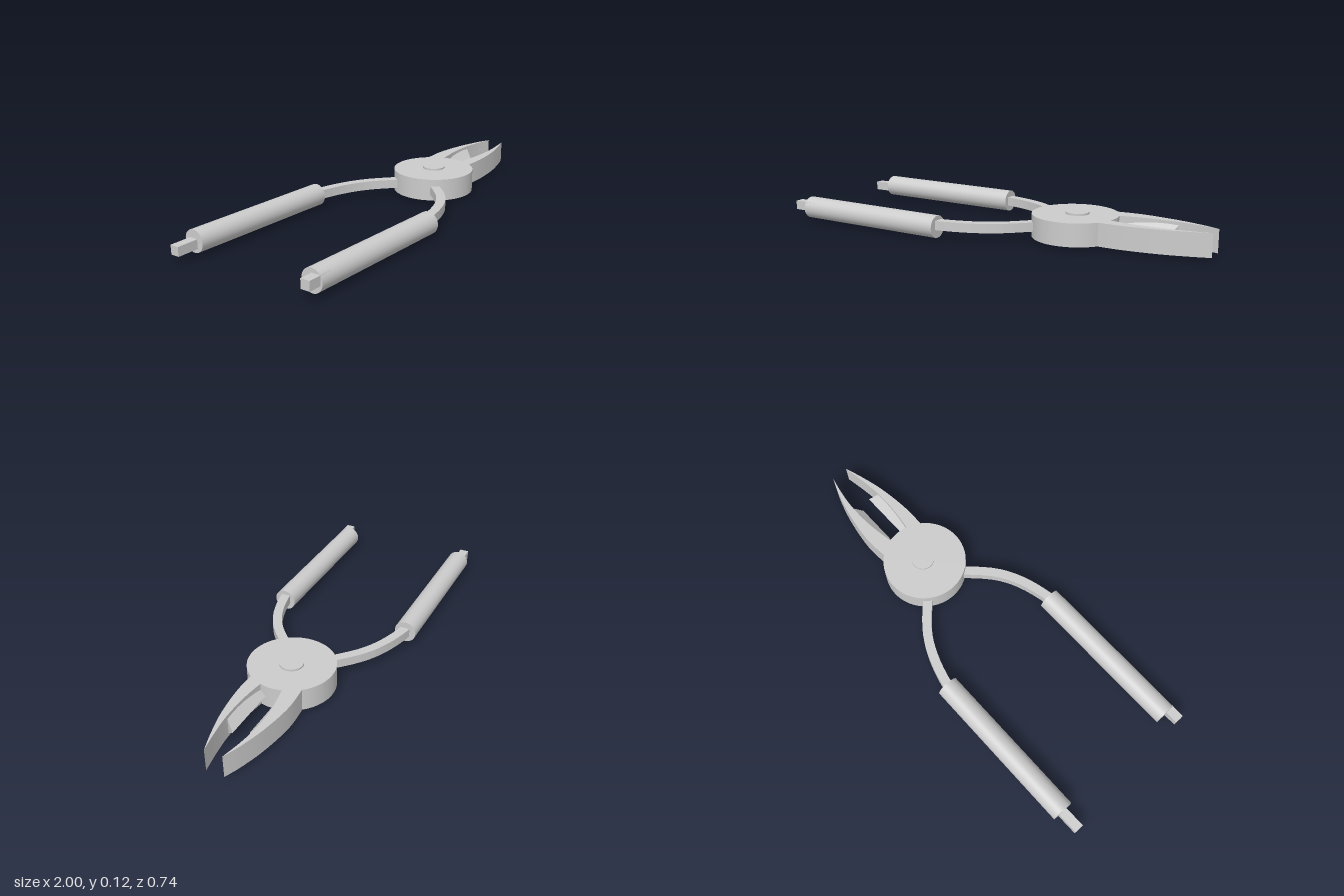
import * as THREE from 'three';

const material = new THREE.MeshStandardMaterial({ color: 0xcccccc });

function add(parent, name, geometry) {
  const mesh = new THREE.Mesh(geometry, material);
  mesh.name = name;
  parent.add(mesh);
  return mesh;
}

// Vertical slab from an outline in (x, z)
function slab(shape, bottom, top) {
  return new THREE.ExtrudeGeometry(shape, { depth: top - bottom, bevelEnabled: false, curveSegments: 12 })
    .rotateX(Math.PI / 2).translate(0, top, 0);
}

const vectors = (list) => list.map(([x, z]) => new THREE.Vector2(x, z));

// Outline of a strip of even width along a centre line
function strip(points, width) {
  const curve = new THREE.SplineCurve(vectors(points));
  const a = [], b = [];
  for (let i = 0; i <= 24; i++) {
    const p = curve.getPoint(i / 24), t = curve.getTangent(i / 24);
    const n = new THREE.Vector2(-t.y, t.x).multiplyScalar(width / 2);
    a.push(p.clone().add(n));
    b.unshift(p.clone().sub(n));
  }
  return new THREE.Shape([...a, ...b]);
}

// Jaw outline: bulging outer edge, hollow inner edge, sharp tip
function jaw(outer, inner) {
  const shape = new THREE.Shape();
  shape.moveTo(...outer[0]);
  shape.splineThru(vectors(outer.slice(1)));
  shape.splineThru(vectors(inner));
  shape.closePath();
  return slab(shape, 0.012, 0.116);
}

// Cutting wedge whose edge lies at mid height, with a slanted far end
function cutter(baseZ, edgeZ) {
  const h = Math.abs(edgeZ - baseZ) * 0.95, mid = 0.063;
  const shape = new THREE.Shape(vectors([[-baseZ, mid - h], [-edgeZ, mid], [-baseZ, mid + h]]));
  const g = new THREE.ExtrudeGeometry(shape, { depth: 0.265, bevelEnabled: false }).rotateY(Math.PI / 2);
  const p = g.attributes.position;
  for (let i = 0; i < p.count; i++) {
    if (p.getX(i) > 0.1) p.setX(i, p.getX(i) - 0.7 * (p.getZ(i) - (baseZ + edgeZ) / 2));
  }
  g.translate(0.54, 0, 0);
  g.computeVertexNormals();
  return g;
}

export function createModel() {
  const model = new THREE.Group();
  model.name = 'pliers';

  // Pivot
  add(model, 'hub', new THREE.CylinderGeometry(0.194, 0.194, 0.104, 64)).position.set(0.37, 0.064, -0.006);
  add(model, 'rivet', new THREE.CylinderGeometry(0.053, 0.053, 0.125, 40)).position.set(0.378, 0.0625, -0.009);

  // Jaws
  add(model, 'leftJaw', jaw(
    [[0.45, 0.09], [0.53, 0.104], [0.65, 0.104], [0.8, 0.084], [0.92, 0.053], [1, 0.027]],
    [[0.9, 0.044], [0.8, 0.055], [0.68, 0.055], [0.555, 0.041], [0.45, 0.02]]));
  add(model, 'rightJaw', jaw(
    [[0.45, -0.12], [0.53, -0.133], [0.65, -0.138], [0.8, -0.117], [0.92, -0.085], [1, -0.054]],
    [[0.9, -0.074], [0.8, -0.084], [0.68, -0.08], [0.555, -0.06], [0.45, -0.04]]));
  add(model, 'leftCutter', cutter(0.06, 0.017));
  add(model, 'rightCutter', cutter(-0.088, -0.043));

  // Handles: a bent square bar inside a round grip
  const handles = [
    { name: 'left', y: 0.064, tilt: -0.007, gripZ: 0.315,
      path: [[-0.96, 0.336], [-0.6, 0.33], [-0.3, 0.324], [-0.15, 0.311], [0, 0.27], [0.12, 0.2], [0.25, 0.07]] },
    { name: 'right', y: 0.057, tilt: 0.006, gripZ: -0.321,
      path: [[-1, -0.322], [-0.6, -0.328], [-0.3, -0.332], [-0.15, -0.32], [0, -0.277], [0.12, -0.21], [0.25, -0.09]] },
  ];
  for (const { name, y, tilt, gripZ, path } of handles) {
    const handle = new THREE.Group();
    handle.name = name + 'Handle';
    model.add(handle);
    const bar = add(handle, name + 'Bar', slab(strip(path, 0.043), -0.021, 0.021));
    bar.position.y = y;
    bar.rotation.z = tilt;
    const grip = add(handle, name + 'Grip', new THREE.CylinderGeometry(0.051, 0.051, 0.75, 40));
    grip.position.set(-0.525, 0.058, gripZ);
    grip.rotation.z = Math.PI / 2 - 0.005;
  }
  return model;
}
